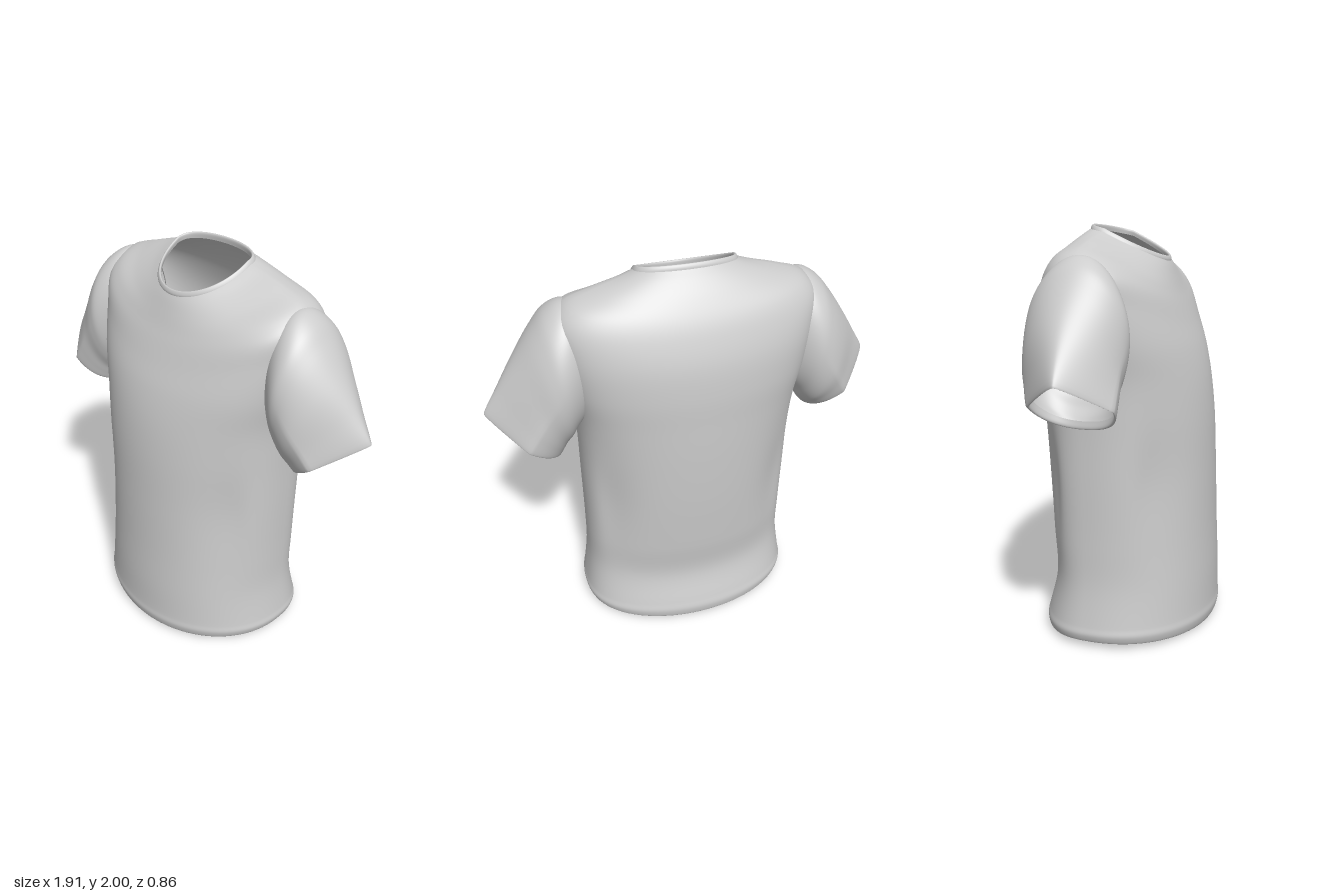
import * as THREE from 'three';

const SEG = 88;
const material = new THREE.MeshStandardMaterial({ color: 0xcccccc, roughness: 0.9, side: THREE.DoubleSide });

// Smooth closed surface through a list of rings; skip(centre) leaves openings.
function loft(name, rings, rows, skip = () => false) {
  const pos = [], index = [];
  const columns = rings[0].map((_, j) => new THREE.CatmullRomCurve3(rings.map(r => r[j])));
  const grid = [];
  for (let i = 0; i <= rows; i++) {
    grid.push(columns.map(c => c.getPoint(i / rows)));
    for (const p of grid[i]) pos.push(p.x, p.y, p.z);
  }
  for (let i = 0; i < rows; i++) {
    for (let j = 0; j < SEG; j++) {
      const k = (j + 1) % SEG;
      const centre = grid[i][j].clone().add(grid[i + 1][k]).multiplyScalar(0.5);
      if (skip(centre)) continue;
      const a = i * SEG + j, b = i * SEG + k, c = a + SEG, d = b + SEG;
      index.push(a, c, b, b, c, d);
    }
  }
  const geo = new THREE.BufferGeometry();
  geo.setAttribute('position', new THREE.Float32BufferAttribute(pos, 3));
  geo.setIndex(index);
  geo.computeVertexNormals();
  const mesh = new THREE.Mesh(geo, material);
  mesh.name = name;
  return mesh;
}

const bump = (v, centre, width) => Math.exp(-(((v - centre) / width) ** 2));

// Body ring: half width, z of front / back / side, y of front / back / side.
// Squarer at the chest, a soft fold at the waist, and flat tilted planes at the neck.
function bodyRing([w, zF, zB, zS, yF, yB, yS]) {
  const chest = 0.16 * bump(yS, 1.48, 0.3);
  const fold = 0.12 * bump(yS, 0.75, 0.3);
  const flat = THREE.MathUtils.smoothstep(yS, 1.8, 1.94);
  return Array.from({ length: SEG }, (_, j) => {
    const a = (j / SEG) * Math.PI * 2, s = Math.sin(a), m = Math.abs(s);
    const front = s >= 0;
    const t = Math.pow(m, (front ? 0.96 : 0.77) - chest);
    const z = zS + ((front ? zF : zB) - zS) * t * (1 - fold * bump(m, 0.58, 0.2));
    const y = yS + ((front ? yF : yB) - yS) * (s * s * (1 - flat) + t * flat);
    return new THREE.Vector3(w * Math.cos(a), y, z);
  });
}

// Sleeve ring: top point, bottom point, z centre, half depth, sharpness of the top edge.
function sleeveRing(side, [tx, ty, bx, by, zc, hz, peak]) {
  return Array.from({ length: SEG }, (_, j) => {
    const a = (j / SEG) * Math.PI * 2, c = Math.cos(a), s = Math.sin(a), m = Math.abs(s);
    const t = (1 + c) / 2;
    const shape = c > 0 ? m * (1 - peak) + (1 - c) * peak : Math.pow(m, 0.85);
    return new THREE.Vector3(side * (bx + (tx - bx) * t), by + (ty - by) * t, zc - side * hz * Math.sign(s) * shape);
  });
}

export function createModel() {
  const shirt = new THREE.Group();
  shirt.name = 'tShirt';

  // Body from the turned-in hem up to the base of the collar
  const body = [
    [0.555, 0.405, -0.41, -0.05, 0.06, 0.05, 0.07],
    [0.558, 0.416, -0.42, -0.05, 0.015, 0.003, 0.035],
    [0.57, 0.43, -0.428, -0.05, 0.06, 0.05, 0.07],
    [0.563, 0.427, -0.415, -0.05, 0.105, 0.105, 0.11],
    [0.538, 0.424, -0.372, -0.05, 0.28, 0.28, 0.3],
    [0.533, 0.415, -0.392, -0.05, 0.5, 0.5, 0.5],
    [0.533, 0.405, -0.415, -0.05, 0.8, 0.8, 0.8],
    [0.533, 0.39, -0.427, -0.05, 1.08, 1.08, 1.08],
    [0.54, 0.365, -0.43, -0.06, 1.27, 1.28, 1.28],
    [0.57, 0.33, -0.43, -0.07, 1.41, 1.45, 1.46],
    [0.6, 0.285, -0.415, -0.09, 1.53, 1.6, 1.65],
    [0.606, 0.25, -0.38, -0.09, 1.62, 1.72, 1.78],
    [0.55, 0.225, -0.345, -0.1, 1.68, 1.8, 1.855],
    [0.42, 0.2, -0.29, -0.1, 1.745, 1.885, 1.905],
    [0.3, 0.178, -0.24, -0.1, 1.8, 1.945, 1.938],
    [0.235, 0.163, -0.205, -0.09, 1.83, 1.98, 1.955],
  ];
  // Opening in the body behind each sleeve
  const armhole = p => Math.abs(p.x) > 0.57 && ((p.y - 1.53) / 0.21) ** 2 + ((p.z + 0.08) / 0.17) ** 2 < 1;
  shirt.add(loft('body', body.map(bodyRing), 96, armhole));

  // Collar band, rolled over into the neck opening
  const collar = [
    [0.24, 0.166, -0.208, -0.09, 1.815, 1.972, 1.948],
    [0.233, 0.168, -0.205, -0.09, 1.83, 1.988, 1.962],
    [0.224, 0.161, -0.196, -0.09, 1.846, 2.0, 1.972],
    [0.218, 0.154, -0.19, -0.09, 1.842, 1.995, 1.967],
    [0.22, 0.153, -0.19, -0.09, 1.82, 1.97, 1.945],
  ];
  shirt.add(loft('collar', collar.map(bodyRing), 16));

  // Sleeves with a turned-in cuff
  for (const side of [1, -1]) {
    const tip = side > 0 ? -0.095 : -0.045;
    const sleeve = [
      [0.48, 1.83, 0.46, 1.31, -0.09, 0.15, 0],
      [0.56, 1.85, 0.505, 1.265, -0.085, 0.205, 0],
      [0.635, 1.81, 0.54, 1.225, -0.08, 0.237, 0],
      [0.7, 1.735, 0.565, 1.18, -0.08, 0.24, 0.05],
      [0.79, 1.605, 0.59, 1.145, -0.078, 0.23, 0.25],
      [0.88, 1.465, 0.605, 1.12, (tip - 0.078) / 2, 0.215, 0.55],
      [0.957, 1.333, 0.624, 1.092, tip, 0.197, 0.85],
      [0.945, 1.335, 0.628, 1.1, tip, 0.19, 0.85],
      [0.91, 1.38, 0.625, 1.13, tip, 0.195, 0.7],
    ];
    shirt.add(loft(side > 0 ? 'leftSleeve' : 'rightSleeve', sleeve.map(r => sleeveRing(side, r)), 48));
  }
  return shirt;
}
